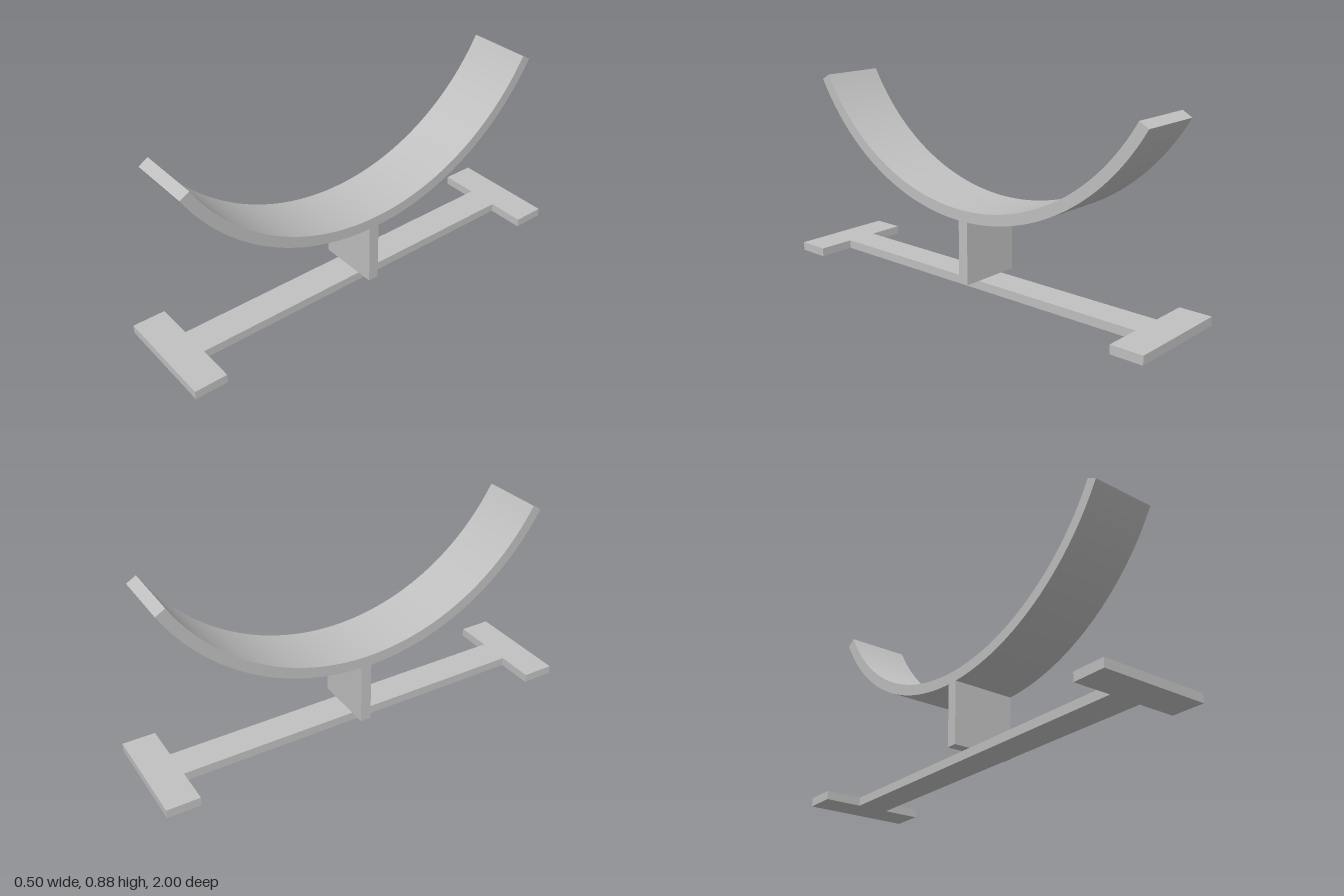
import * as THREE from 'three';
import { toCreasedNormals } from 'three/addons/utils/BufferGeometryUtils.js';

export function createModel() {
  const group = new THREE.Group();
  const grey = new THREE.MeshStandardMaterial({ color: 0xc0c0c0 });
  grey.name = 'grey';

  const add = (name, geometry) => {
    const mesh = new THREE.Mesh(geometry, grey);
    mesh.name = name;
    group.add(mesh);
    return mesh;
  };

  // I-shaped floor plate: narrow spine with a wide foot at each end
  const spine = 0.075, foot = 0.25, end = 1, inner = 0.85, baseHeight = 0.04;
  const quarter = [[spine, inner], [foot, inner], [foot, end]];
  const mirror = (sx, sy) => quarter.map(([x, y]) => new THREE.Vector2(x * sx, y * sy));
  const outline = [
    ...mirror(1, 1),
    ...mirror(-1, 1).reverse(),
    ...mirror(-1, -1),
    ...mirror(1, -1).reverse(),
  ];
  const base = new THREE.ExtrudeGeometry(new THREE.Shape(outline), { depth: baseHeight, bevelEnabled: false });
  base.rotateX(-Math.PI / 2);
  add('base', base);

  // Upright plate, its top sunk slightly into the cradle
  const postTop = 0.335, width = 0.3;
  const post = add('post', new THREE.BoxGeometry(width, postTop - baseHeight, 0.05));
  post.position.y = (postTop + baseHeight) / 2;

  // Curved cradle: a 120 degree band swept across the width
  const centreY = 1.387, outerRadius = 1.06, innerRadius = 1.01;
  const start = Math.PI * 7 / 6, stop = Math.PI * 11 / 6;
  const band = new THREE.Shape();
  band.absarc(0, centreY, outerRadius, start, stop, false);
  band.absarc(0, centreY, innerRadius, stop, start, true);
  const cradle = new THREE.ExtrudeGeometry(band, { depth: width, bevelEnabled: false, curveSegments: 64 });
  cradle.translate(0, 0, -width / 2);
  cradle.rotateY(Math.PI / 2);
  add('cradle', toCreasedNormals(cradle, Math.PI / 6));

  return group;
}
